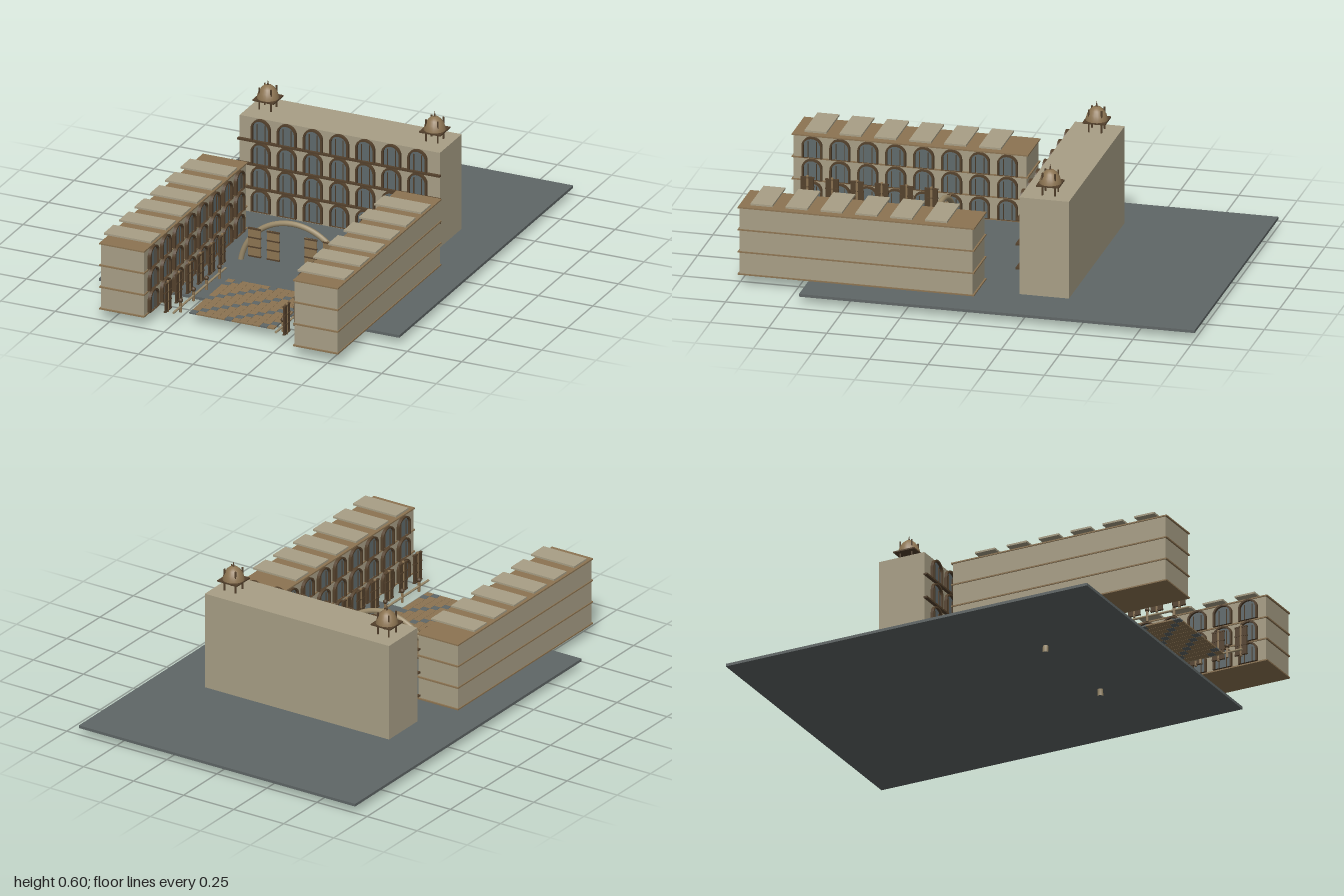
import * as THREE from 'three';

const mat = (name, color, side = THREE.FrontSide) => {
  const m = new THREE.MeshStandardMaterial({ color, side });
  m.name = name;
  return m;
};
const stone = mat('stone', 0xa89f86);
const brown = mat('brown', 0x8c7452);
const darkWood = mat('dark wood', 0x54412c);
const slate = mat('slate', 0x5f6666);
const glass = mat('window glass', 0x5f6a6c, THREE.DoubleSide);
const tan = mat('tan', 0x9c8c6c);

function add(parent, name, geo, material, x = 0, y = 0, z = 0) {
  const m = new THREE.Mesh(geo, material);
  m.name = name;
  m.position.set(x, y, z);
  parent.add(m);
  return m;
}
// Box given by its limits on each axis
function box(parent, name, material, x0, x1, y0, y1, z0, z1) {
  return add(parent, name, new THREE.BoxGeometry(x1 - x0, y1 - y0, z1 - z0), material,
    (x0 + x1) / 2, (y0 + y1) / 2, (z0 + z1) / 2);
}
function group(parent, name, x = 0, y = 0, z = 0) {
  const g = new THREE.Group();
  g.name = name;
  g.position.set(x, y, z);
  parent.add(g);
  return g;
}

// Round-headed outline standing on y = 0
function archOutline(Type, r, spring) {
  const s = new Type();
  s.moveTo(-r, 0);
  s.lineTo(r, 0);
  s.lineTo(r, spring);
  s.absarc(0, spring, r, 0, Math.PI, false);
  s.lineTo(-r, 0);
  return s;
}
const SPRING = 0.058;
const rimShape = archOutline(THREE.Shape, 0.044, SPRING);
rimShape.holes.push(archOutline(THREE.Path, 0.036, SPRING));
const rimGeo = new THREE.ExtrudeGeometry(rimShape, { depth: 0.014, bevelEnabled: false, curveSegments: 10 });
const paneGeo = new THREE.ShapeGeometry(archOutline(THREE.Shape, 0.037, SPRING), 10);
const barGeo = new THREE.BoxGeometry(0.003, 0.076, 0.004);

// Arched window facing +z
function archWindow(parent, x, y, z, turn = 0, scaleY = 1) {
  const g = group(parent, 'archWindow', x, y, z);
  g.rotation.y = turn;
  g.scale.y = scaleY;
  add(g, 'windowRim', rimGeo, darkWood);
  add(g, 'windowPane', paneGeo, glass, 0, 0, 0.003);
  for (const bx of [-0.018, 0.018]) add(g, 'windowBar', barGeo, darkWood, bx, 0.04, 0.005);
}

// Slatted standing panel, wide in x
function slattedPanel(parent, x, y, z, turn = 0, plank = brown) {
  const g = group(parent, 'slattedPanel', x, y, z);
  g.rotation.y = turn;
  box(g, 'panelBoard', plank, -0.028, 0.028, 0, 0.13, -0.003, 0.003);
  for (const h of [0.003, 0.045, 0.087, 0.127])
    box(g, 'panelSlat', darkWood, -0.029, 0.029, h - 0.003, h + 0.003, -0.005, 0.005);
  return g;
}

// Domed roof kiosk
function kiosk(parent, x, y, z) {
  const g = group(parent, 'roofKiosk', x, y, z);
  const post = new THREE.CylinderGeometry(0.004, 0.004, 0.098, 8);
  for (const px of [-0.027, 0.027])
    for (const pz of [-0.027, 0.027]) add(g, 'kioskPost', post, darkWood, px, 0.049, pz);
  box(g, 'kioskPlate', darkWood, -0.049, 0.049, 0.043, 0.049, -0.049, 0.049);
  const profile = [[0.047, 0.049], [0.045, 0.06], [0.039, 0.077], [0.029, 0.093], [0.016, 0.104], [0, 0.108]]
    .map(([r, h]) => new THREE.Vector2(r, h));
  add(g, 'kioskDome', new THREE.LatheGeometry(profile, 20), brown);
  add(g, 'kioskFinial', new THREE.ConeGeometry(0.005, 0.026, 8), darkWood, 0, 0.118, 0);
}

export function createModel() {
  const model = new THREE.Group();
  model.name = 'palaceCourtyard';

  box(model, 'groundSlab', slate, -0.69, 0.69, 0.03, 0.042, -1, 0.7);

  // Main building: four rows of seven windows
  const main = group(model, 'mainBuilding');
  box(main, 'mainWalls', stone, -0.46, 0.46, 0.042, 0.472, -0.4, -0.187);
  for (let r = 0; r < 4; r++) {
    const y = 0.05 + r * 0.1065;
    for (let c = -3; c <= 3; c++) archWindow(main, c * 0.12, y, -0.187);
    if (r) box(main, 'mainLedge', darkWood, -0.465, 0.465, y - 0.004, y + 0.004, -0.188, -0.172);
  }
  for (const s of [-1, 1]) kiosk(main, s * 0.383, 0.472, -0.3);

  for (const s of [-1, 1]) {
    // Side wing: three storeys between floor plates
    const wing = group(model, s > 0 ? 'leftWing' : 'rightWing');
    const cx = s * 0.445;
    box(wing, 'wingWalls', stone, cx - 0.099, cx + 0.099, 0.051, 0.344, -0.008, 0.993);
    for (let r = 0; r < 4; r++) {
      const y = 0.05 + r * 0.0985;
      box(wing, 'floorPlate', brown, cx - 0.103, cx + 0.103, y - 0.003, y + 0.003, -0.015, 1);
      if (r < 3)
        for (let c = 0; c < 8; c++)
          archWindow(wing, s * 0.346, y + 0.003, 0.072 + c * 0.12, -s * Math.PI / 2, 0.91);
    }
    for (let k = 0; k < 6; k++) {
      const z = 0.147 + k * 0.15;
      box(wing, 'roofSlab', stone, cx - 0.108, cx + 0.108, 0.363, 0.371, z - 0.047, z + 0.047);
    }

    // Row of hinged panels along the wing
    for (let k = 0; k < 6; k++) {
      const p = slattedPanel(model, s * 0.273, 0.06, 0.382 + k * 0.1065, Math.PI / 2, darkWood);
      add(p, 'panelPost', new THREE.CylinderGeometry(0.006, 0.006, 0.14, 8), brown, 0, 0.065, 0);
    }

    // Low railing
    const rail = group(model, 'railing', s * 0.235);
    const bar = add(rail, 'railBar', new THREE.CylinderGeometry(0.005, 0.005, 0.51, 10), tan, 0, 0.066, 0.685);
    bar.rotation.x = Math.PI / 2;
    for (let k = 0; k < 4; k++) {
      const z = 0.49 + k * 0.1265;
      add(rail, 'railPost', new THREE.CylinderGeometry(0.006, 0.006, 0.05, 10), brown, 0, 0.067, z);
      add(rail, 'railKnob', new THREE.SphereGeometry(0.01, 12, 8), darkWood, 0, 0.095, z);
    }

    // Gate shutters below the arch
    for (const x of [0.086, 0.172]) slattedPanel(model, s * x, 0.068, 0.28);
  }

  // Freestanding gate arch, its feet passing through the slab
  add(model, 'gateArch', new THREE.TorusGeometry(0.244, 0.012, 10, 40, Math.PI), tan, 0, 0, 0.268);

  // Tiled floor with diagonal grey bands
  const floor = group(model, 'tiledFloor');
  const tile = new THREE.BoxGeometry(0.0315, 0.006, 0.0315);
  for (let i = 0; i < 12; i++)
    for (let j = 0; j < 12; j++)
      add(floor, 'floorTile', tile, (i + j) % 5 === 1 ? slate : brown,
        (i - 5.5) * 0.0325, 0.046, 0.505 + j * 0.032);

  return model;
}
